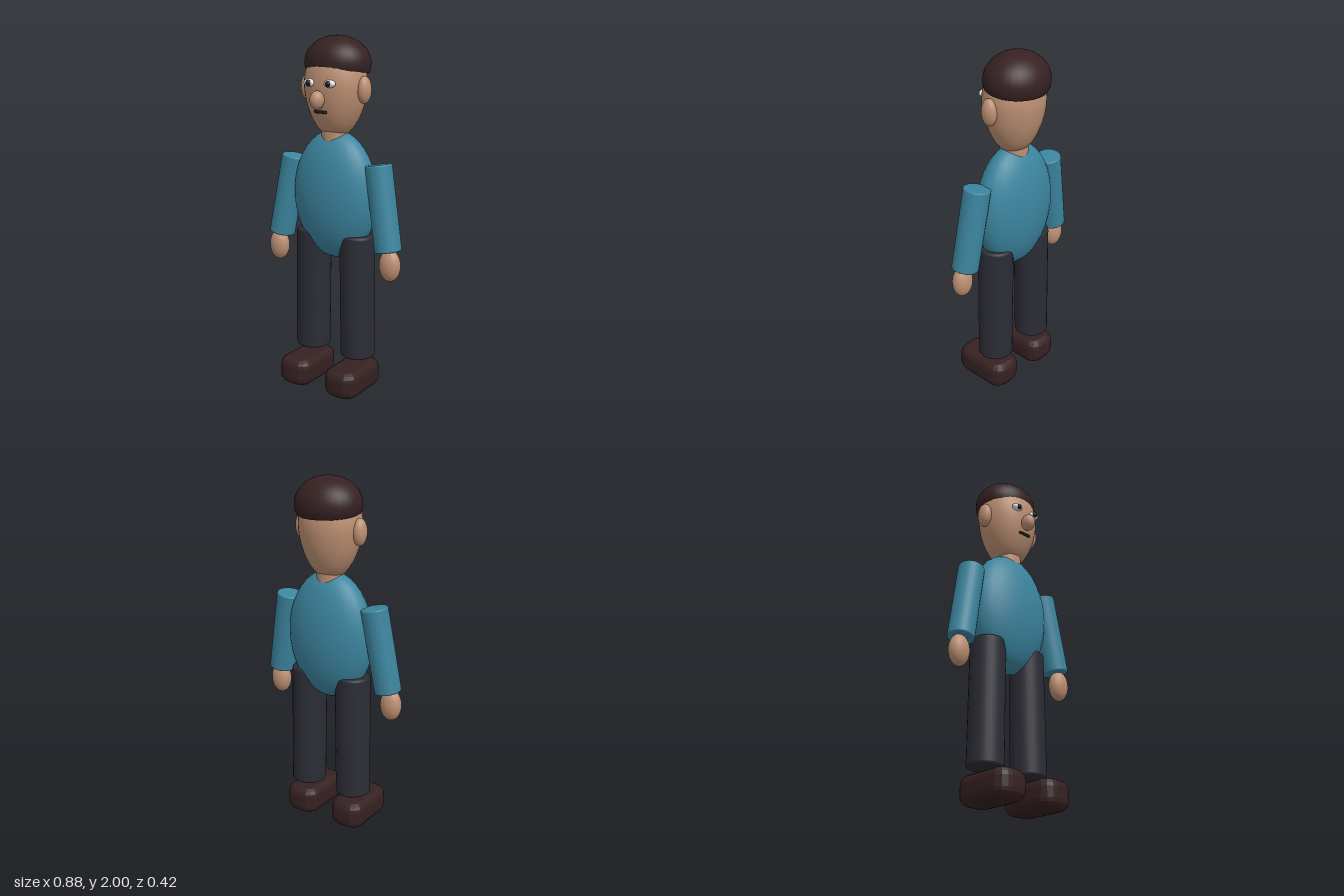
import * as THREE from 'three';

const mat = (name, color, extra = {}) => {
  const m = new THREE.MeshStandardMaterial({ color, ...extra });
  m.name = name;
  return m;
};

// Closed cylinder with softly rounded rims, standing along y
function roundedCylinder(r, h, b) {
  const pts = [new THREE.Vector2(0, -h / 2)];
  for (const side of [-1, 1]) {
    for (let i = 0; i <= 4; i++) {
      const a = (side < 0 ? i - 4 : i) * Math.PI / 8;
      pts.push(new THREE.Vector2(r - b + b * Math.cos(a), side * (h / 2 - b) + b * Math.sin(a)));
    }
  }
  pts.push(new THREE.Vector2(0, h / 2));
  return new THREE.LatheGeometry(pts, 28);
}

export function createModel() {
  const model = new THREE.Group();
  model.name = 'standingMan';

  const skin = mat('skin', 0xbd9073);
  const shirt = mat('shirtTeal', 0x3c859f);
  const trousers = mat('trouserCharcoal', 0x2c2c36);
  const brown = mat('darkBrown', 0x362122, { side: THREE.DoubleSide });
  const white = mat('eyeWhite', 0xe6e5e0);
  const dark = mat('pupilDark', 0x1e1b1e);

  const add = (name, geometry, material, x, y, z) => {
    const mesh = new THREE.Mesh(geometry, material);
    mesh.name = name;
    mesh.position.set(x, y, z);
    model.add(mesh);
    return mesh;
  };
  const ellipsoid = (name, material, pos, radii) => {
    const mesh = add(name, new THREE.SphereGeometry(1, 28, 20), material, ...pos);
    mesh.scale.set(...radii);
    return mesh;
  };
  // Rounded cylinder running from point a up to point b
  const limb = (name, material, a, b, r, bevel) => {
    const p = new THREE.Vector3(...a), q = new THREE.Vector3(...b);
    const dir = q.clone().sub(p);
    const mid = p.clone().add(q).multiplyScalar(0.5);
    const mesh = add(name, roundedCylinder(r, dir.length(), bevel), material, mid.x, mid.y, mid.z);
    mesh.quaternion.setFromUnitVectors(new THREE.Vector3(0, 1, 0), dir.normalize());
  };

  // Torso and neck
  ellipsoid('torso', shirt, [0, 1.127, -0.025], [0.264, 0.365, 0.15]);
  add('neck', new THREE.CylinderGeometry(0.078, 0.078, 0.2, 28), skin, 0, 1.47, -0.025);

  // Head: egg-shaped profile narrowing to the chin
  const profile = new THREE.SplineCurve([
    [0, 1.447], [0.05, 1.457], [0.095, 1.495], [0.126, 1.54], [0.153, 1.6], [0.172, 1.67],
    [0.18, 1.75], [0.166, 1.83], [0.132, 1.9], [0.08, 1.95], [0, 1.975],
  ].map(([x, y]) => new THREE.Vector2(x, y))).getPoints(30);
  profile.forEach(p => { p.x = Math.max(0, p.x); });
  add('head', new THREE.LatheGeometry(profile, 32), skin, 0, 0, -0.027).scale.z = 0.9;

  // Hair cap, sitting lower at the back
  const hair = add('hair', new THREE.SphereGeometry(1, 28, 16, 0, Math.PI * 2, 0, Math.PI * 0.6),
    brown, 0, 1.852, -0.046);
  hair.scale.set(0.19, 0.148, 0.167);
  hair.rotation.x = -0.12;

  // Nose and mouth
  ellipsoid('nose', skin, [0, 1.667, 0.15], [0.038, 0.05, 0.043]);
  add('mouth', new THREE.CapsuleGeometry(0.008, 0.068, 4, 12), dark, 0, 1.601, 0.119)
    .rotation.z = Math.PI / 2;

  // Paired parts
  for (const [side, s] of [['left', 1], ['right', -1]]) {
    ellipsoid(side + 'Ear', skin, [s * 0.185, 1.717, -0.025], [0.037, 0.074, 0.046]);
    ellipsoid(side + 'Eye', white, [s * 0.066, 1.754, 0.126], [0.035, 0.021, 0.021]);
    ellipsoid(side + 'Pupil', dark, [s * 0.064, 1.754, 0.139], [0.017, 0.017, 0.015]);

    limb(side + 'Sleeve', shirt, [s * 0.364, 0.855, -0.001], [s * 0.28, 1.323, -0.024], 0.075, 0.01);
    ellipsoid(side + 'Hand', skin, [s * 0.379, 0.78, 0.006], [0.062, 0.09, 0.05]);

    limb(side + 'Leg', trousers, [s * 0.157, 0.195, -0.025], [s * 0.147, 0.915, -0.025], 0.1, 0.016);

    // Shoe: box with rounded outline, bevelled all round
    const w = 0.0525, l = 0.1275, c = 0.03, b = 0.05;
    const sole = new THREE.Shape();
    sole.moveTo(-w + c, -l);
    sole.lineTo(w - c, -l);
    sole.quadraticCurveTo(w, -l, w, -l + c);
    sole.lineTo(w, l - c);
    sole.quadraticCurveTo(w, l, w - c, l);
    sole.lineTo(-w + c, l);
    sole.quadraticCurveTo(-w, l, -w, l - c);
    sole.lineTo(-w, -l + c);
    sole.quadraticCurveTo(-w, -l, -w + c, -l);
    const shoe = new THREE.ExtrudeGeometry(sole, {
      depth: 0.16 - 2 * b, bevelThickness: b, bevelSize: b, bevelSegments: 4, curveSegments: 4,
    });
    add(side + 'Shoe', shoe, brown, s * 0.158, b, 0.033).rotation.x = -Math.PI / 2;
  }
  return model;
}
